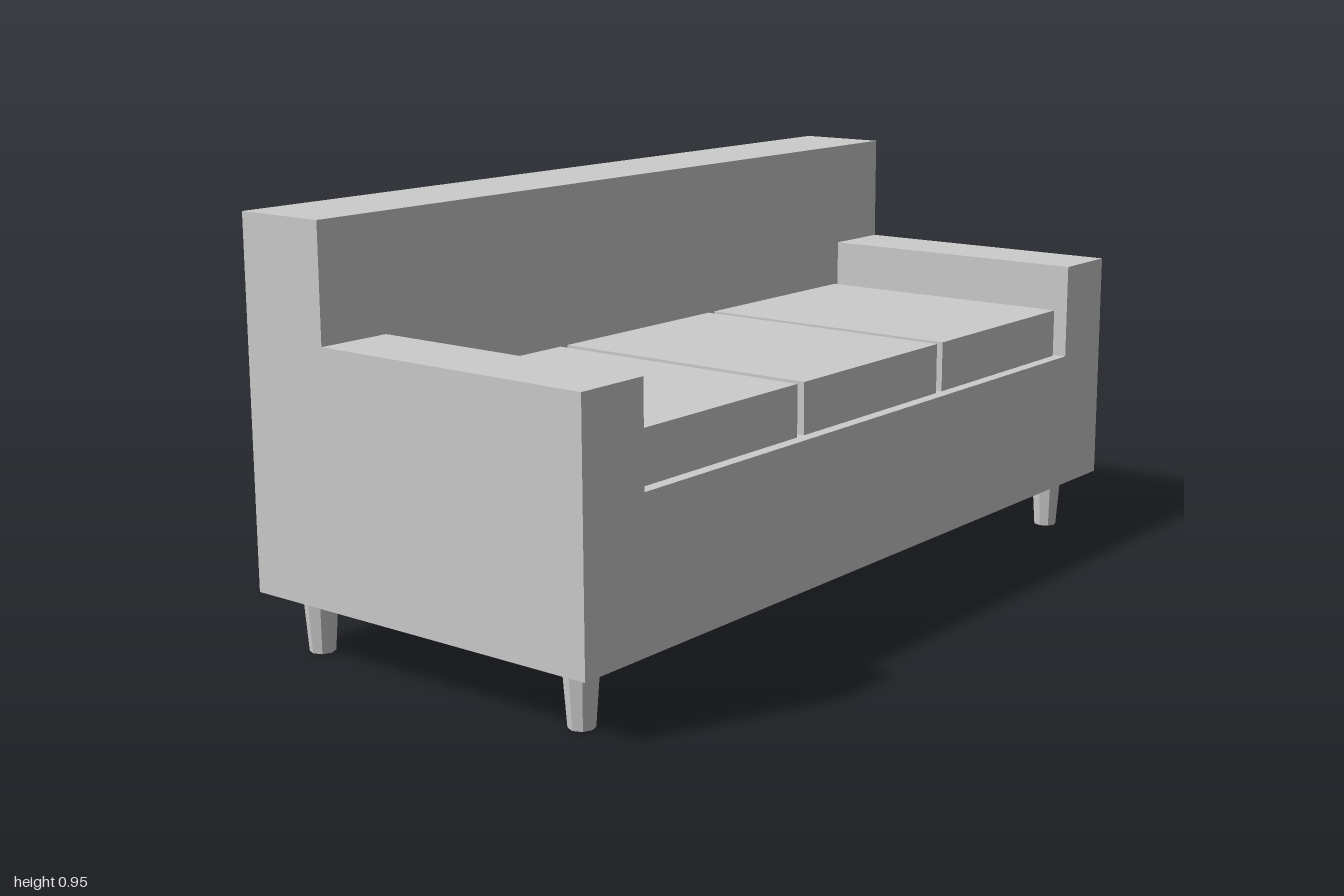
import * as THREE from 'three';

const material = new THREE.MeshStandardMaterial({ color: 0xcccccc, flatShading: true });

function addMesh(parent, name, geometry, x = 0, y = 0, z = 0) {
  const mesh = new THREE.Mesh(geometry, material);
  mesh.name = name;
  mesh.position.set(x, y, z);
  parent.add(mesh);
  return mesh;
}

// Box given by its minimum and maximum corners
function addBox(parent, name, [x0, y0, z0], [x1, y1, z1]) {
  return addMesh(parent, name, new THREE.BoxGeometry(x1 - x0, y1 - y0, z1 - z0),
    (x0 + x1) / 2, (y0 + y1) / 2, (z0 + z1) / 2);
}

export function createModel() {
  const sofa = new THREE.Group();
  sofa.name = 'sofa';

  const bottom = 0.135, seatTop = 0.465, armTop = 0.69, backTop = 0.946;
  const front = 0.456, backFront = -0.233, rear = -0.456, armInner = 0.823;

  // Seat base and both arms: one U-shaped section running front to back
  const section = new THREE.Shape([
    [-1, bottom], [1, bottom], [1, armTop], [armInner, armTop],
    [armInner, seatTop], [-armInner, seatTop], [-armInner, armTop], [-1, armTop],
  ].map(([x, y]) => new THREE.Vector2(x, y)));
  addMesh(sofa, 'seatBaseAndArms', new THREE.ExtrudeGeometry(section, {
    depth: front - backFront, bevelEnabled: false,
  }), 0, 0, backFront);

  // Full-width backrest reaching down to the underside
  addBox(sofa, 'backrest', [-1, bottom, rear], [1, backTop, backFront]);

  // Three loose seat cushions with narrow gaps
  const cushions = new THREE.Group();
  cushions.name = 'seatCushions';
  sofa.add(cushions);
  for (const [name, x] of [['rightCushion', -0.548], ['middleCushion', 0], ['leftCushion', 0.548]]) {
    addBox(cushions, name, [x - 0.262, seatTop, backFront], [x + 0.262, 0.58, 0.428]);
  }

  // Four tapered eight-sided legs
  const legGeometry = new THREE.CylinderGeometry(0.038, 0.028, bottom, 8);
  for (const [side, x] of [['Left', 0.91], ['Right', -0.91]]) {
    for (const [end, z] of [['front', 0.367], ['back', -0.367]]) {
      addMesh(sofa, `${end}${side}Leg`, legGeometry, x, bottom / 2, z);
    }
  }
  return sofa;
}
